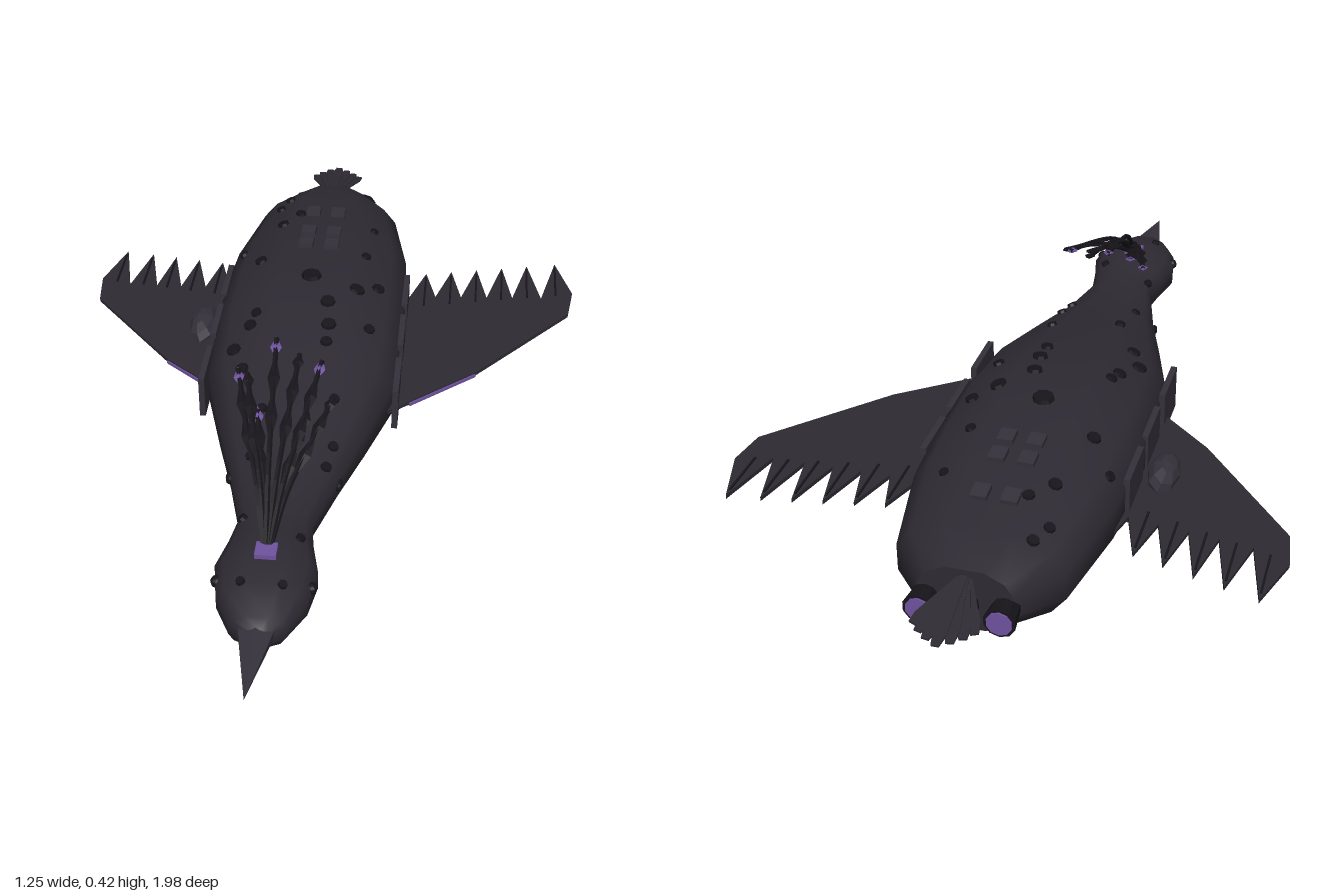
import * as THREE from 'three';

const CX = -0.033; // centre line of the hull
const mat = (color, extra = {}) => new THREE.MeshStandardMaterial({ color, ...extra });
const hullMat = mat(0x2e2a33);
const wingMat = mat(0x2e2a33, { flatShading: true, side: THREE.DoubleSide });
const darkMat = mat(0x17151b, { flatShading: true });
const plateMat = mat(0x35313b, { flatShading: true });
const podMat = mat(0x1e1530, { flatShading: true });
const glowMat = mat(0x6f539f, { flatShading: true });

// hull stations: z, half width, bottom, top
const STATIONS = [
  [-0.82, 0.1, 0.075, 0.225], [-0.72, 0.18, 0.037, 0.25], [-0.5, 0.222, 0.022, 0.277],
  [-0.35, 0.232, 0.01, 0.287], [-0.18, 0.232, 0.008, 0.295], [0.02, 0.222, 0.01, 0.268],
  [0.2, 0.168, 0.04, 0.235], [0.35, 0.12, 0.066, 0.207], [0.5, 0.08, 0.09, 0.2],
  [0.57, 0.09, 0.084, 0.21], [0.65, 0.108, 0.08, 0.217], [0.73, 0.094, 0.085, 0.208],
  [0.8, 0.058, 0.1, 0.186], [0.82, 0.03, 0.12, 0.17],
];
// a quarter of the unit cross-section, from the side to the top
const QUARTER = [[1, 0.3], [0.82, 0.68], [0.4, 0.96]];
const RING = [
  ...QUARTER, ...QUARTER.map(([x, y]) => [-x, y]).reverse(),
  ...QUARTER.map(([x, y]) => [-x, -y]), ...QUARTER.map(([x, y]) => [x, -y]).reverse(),
];

function station(z) {
  let i = 0;
  while (i < STATIONS.length - 2 && STATIONS[i + 1][0] < z) i++;
  const a = STATIONS[i], b = STATIONS[i + 1], t = (z - a[0]) / (b[0] - a[0]);
  return a.map((v, k) => v + (b[k] - v) * t);
}

// height of the upper hull surface at x, z
function topY(x, z) {
  const [, w, lo, hi] = station(z);
  const u = Math.min(Math.abs(x - CX) / w, 0.99);
  const pts = [[0, 0.98], ...[...QUARTER].reverse(), [1.0001, 0]];
  const k = Math.max(1, pts.findIndex((p) => p[0] >= u));
  const [a, b] = [pts[k - 1], pts[k]];
  const v = a[1] + (b[1] - a[1]) * (u - a[0]) / (b[0] - a[0]);
  return (lo + hi) / 2 + v * (hi - lo) / 2;
}

function hullGeometry() {
  const n = RING.length, pos = [], idx = [];
  for (const [z, w, lo, hi] of STATIONS)
    for (const [x, y] of RING) pos.push(CX + x * w, (lo + hi) / 2 + y * (hi - lo) / 2, z);
  for (let s = 0; s < STATIONS.length - 1; s++)
    for (let i = 0; i < n; i++) {
      const a = s * n + i, b = s * n + (i + 1) % n;
      idx.push(a, b, a + n, b, b + n, a + n);
    }
  // end caps with their own vertices
  [0, STATIONS.length - 1].forEach((s, e) => {
    const base = pos.length / 3;
    pos.push(...pos.slice(s * n * 3, (s + 1) * n * 3));
    for (let i = 1; i < n - 1; i++)
      idx.push(base, base + (e ? i : i + 1), base + (e ? i + 1 : i));
  });
  const g = new THREE.BufferGeometry();
  g.setAttribute('position', new THREE.Float32BufferAttribute(pos, 3));
  g.setIndex(idx);
  g.computeVertexNormals();
  return g;
}

export function createModel() {
  const model = new THREE.Group();
  const add = (name, geo, material, x = 0, y = 0, z = 0, parent = model) => {
    const m = new THREE.Mesh(geo, material);
    m.name = name;
    m.position.set(x, y, z);
    parent.add(m);
    return m;
  };
  const box = (w, h, d) => new THREE.BoxGeometry(w, h, d);
  const ball = (rx, ry, rz, a = 8, b = 6) => new THREE.SphereGeometry(1, a, b).scale(rx, ry, rz);
  const up = new THREE.Vector3(0, 1, 0);
  // lay a part on the hull, facing along the surface normal
  const onHull = (name, geo, material, x, z) => {
    const e = 0.012, m = add(name, geo, material, x, topY(x, z), z);
    const n = new THREE.Vector3(topY(x - e, z) - topY(x + e, z), 2 * e, topY(x, z - e) - topY(x, z + e));
    m.quaternion.setFromUnitVectors(up, n.normalize());
  };

  add('hull', hullGeometry(), hullMat);

  // beak: long upper half, short lower half
  const beak = (name, w, h, len, y) => add(name,
    new THREE.ConeGeometry(1, len, 6).rotateX(Math.PI / 2).scale(w, h, 1), plateMat, CX, y, 0.8 + len / 2);
  beak('upperBeak', 0.045, 0.022, 0.185, 0.152);
  beak('lowerBeak', 0.032, 0.018, 0.11, 0.134);

  // wings with a saw-tooth row of feathers along the rear edge
  for (const s of [1, -1]) {
    const wing = new THREE.Group();
    wing.name = s > 0 ? 'leftWing' : 'rightWing';
    wing.position.y = s > 0 ? 0.122 : 0.138;
    wing.rotation.z = s > 0 ? 0.022 : 0.068;
    model.add(wing);
    const edge = [[0.12, 0.1], [0.19, 0.045], [0.385, -0.115], [0.615, -0.38], [0.628, -0.475]];
    const tips = [];
    for (let i = 0; i < 6; i++) {
      const x = 0.585 - i * 0.068 - (i > 0 ? 0.04 * (1 - i / 6) * 0.2 : 0);
      tips.push([x, -0.61 + i * 0.014]);
      edge.push([x, -0.61 + i * 0.014], [x - 0.038, -0.445 + i * 0.003]);
    }
    edge.push([0.12, -0.43]);
    const shape = new THREE.Shape(edge.map(([x, z]) => new THREE.Vector2(s * x, -z)));
    add('wingPanel', new THREE.ExtrudeGeometry(shape, { depth: 0.01, bevelEnabled: false })
      .rotateX(-Math.PI / 2), wingMat, 0, -0.005, 0, wing);
    for (const [x, z] of tips)
      add('featherQuill', box(0.005, 0.016, 0.13), darkMat, s * x, 0, z + 0.085, wing);
    const strip = add('leadingEdgeStrip', box(0.2, 0.008, 0.008), glowMat, s * 0.305, -0.003, -0.05, wing);
    strip.rotation.y = s * 0.69;
    // slim store hung below the wing
    const px = s > 0 ? 0.345 : -0.385;
    add('underwingStore', ball(0.018, 0.018, 0.06, 6, 4), podMat, px, -0.026, -0.2, wing);
    add('storePylon', box(0.008, 0.02, 0.05), darkMat, px, -0.01, -0.2, wing);
  }
  add('wingPod', ball(0.037, 0.037, 0.075, 8, 6).rotateZ(Math.PI / 8), plateMat, -0.312, 0.125, -0.255);

  // armour plates along both flanks
  for (const s of [1, -1])
    for (const [z, len] of [[0.008, 0.135], [-0.175, 0.13], [-0.35, 0.135]])
      add('flankPlate', box(0.014, 0.11, len), plateMat, CX + s * 0.23, 0.152, z);

  // paired roof hatches
  for (const z of [-0.615, -0.495, -0.43])
    for (const x of [-0.067, -0.002]) onHull('roofHatch', box(0.036, 0.018, 0.042), plateMat, x, z);

  // studs scattered over the back and head: x, z, radius
  const studs = [
    [-0.037, -0.27, 0.027], [0.08, -0.23, 0.022], [0.015, -0.16, 0.02], [-0.195, -0.005, 0.02],
    [-0.165, -0.08, 0.018], [-0.155, -0.12, 0.015], [-0.165, 0.065, 0.018], [0.025, -0.08, 0.02],
    [0.025, -0.02, 0.016], [-0.14, -0.71, 0.015], [-0.16, -0.66, 0.014], [-0.14, -0.545, 0.017],
    [-0.1, -0.6, 0.015], [-0.23, -0.44, 0.014], [-0.175, -0.36, 0.018], [0.13, -0.27, 0.018],
    [0.09, -0.4, 0.014], [0.1, -0.55, 0.012], [0.12, -0.1, 0.016], [0.06, 0.15, 0.014],
    [-0.1, 0.2, 0.014], [0.07, 0.28, 0.014], [0.06, 0.34, 0.014], [-0.11, 0.33, 0.012],
    [-0.1, 0.52, 0.012], [0.03, 0.58, 0.012], [-0.075, 0.725, 0.011], [0.01, 0.725, 0.011],
  ];
  for (const [x, z, r] of studs)
    onHull('stud', new THREE.CylinderGeometry(r * 0.85, r, 0.014, 8), darkMat, x, z);

  // eyes and cheek studs
  for (const s of [1, -1]) {
    add('eye', ball(0.013, 0.013, 0.015), darkMat, CX + s * 0.098, 0.165, 0.69);
    add('cheekStud', ball(0.01, 0.012, 0.02), darkMat, CX + s * 0.122, 0.145, 0.345);
  }

  // crest: a fan of feathers sweeping up and back from the crown
  const crest = new THREE.Group();
  crest.name = 'crest';
  model.add(crest);
  add('crestBase', box(0.045, 0.016, 0.04), glowMat, CX, 0.216, 0.645, crest);
  const crestTips = [
    [-0.145, 0.37, 0.24], [-0.12, 0.385, 0.27], [-0.065, 0.425, 0.19], [-0.012, 0.4, 0.21],
    [0.04, 0.4, 0.23], [0.072, 0.362, 0.31], [-0.09, 0.34, 0.34], [0.02, 0.345, 0.35],
  ];
  crestTips.forEach(([x, y, z], i) => {
    const at = (t, yy, zz) => new THREE.Vector3(CX + (x - CX) * t, yy, zz);
    const curve = new THREE.CatmullRomCurve3([
      at(0.06, 0.215, 0.635), at(0.3, 0.225 + (y - 0.22) * 0.42, 0.53),
      at(0.66, 0.22 + (y - 0.22) * 0.76, z + (0.53 - z) * 0.52), at(1, y, z)]);
    add('crestQuill', new THREE.TubeGeometry(curve, 10, 0.006, 5), darkMat, 0, 0, 0, crest);
    // blades along the outer part, the last one coloured on some feathers
    for (const [t, len, w] of [[0.58, 0.14, 0.014], [0.78, 0.13, 0.014], [0.95, 0.06, 0.013]]) {
      const p = curve.getPointAt(t);
      const blade = add('crestBlade', new THREE.OctahedronGeometry(1).scale(w, 0.007, len / 2),
        t > 0.9 && i % 2 === 0 ? glowMat : darkMat, p.x, p.y, p.z, crest);
      blade.lookAt(p.clone().add(curve.getTangentAt(t)));
    }
  });

  // chin turret under the neck
  add('chinTurret', ball(0.065, 0.04, 0.083, 10, 8), podMat, CX, 0.054, 0.44);
  add('turretMount', new THREE.CylinderGeometry(0.03, 0.035, 0.04, 8), darkMat, CX, 0.088, 0.44);
  add('turretRing', new THREE.TorusGeometry(0.062, 0.004, 4, 12).scale(1, 0.62, 1), glowMat, CX, 0.054, 0.465);
  add('turretPin', new THREE.CylinderGeometry(0.004, 0.004, 0.06, 5), darkMat, CX, 0.036, 0.437);

  // three rear thrusters with glowing ends
  for (const dx of [-0.083, 0, 0.083]) {
    add('thruster', new THREE.CylinderGeometry(0.034, 0.026, 0.07, 10).rotateX(-Math.PI / 2),
      darkMat, CX + dx, 0.142, -0.828);
    add('thrusterGlow', new THREE.CylinderGeometry(0.027, 0.027, 0.006, 10).rotateX(Math.PI / 2),
      glowMat, CX + dx, 0.142, -0.864);
  }

  // tail fan of overlapping feathers
  const tail = new THREE.Group();
  tail.name = 'tailFan';
  tail.position.set(CX, 0.208, -0.8);
  tail.rotation.x = -0.16;
  model.add(tail);
  for (let i = -3; i <= 3; i++) {
    const len = 0.2 - Math.abs(i) * 0.012;
    const s = new THREE.Shape([[-0.006, 0], [0.006, 0], [0.014, len * 0.85], [0.008, len], [-0.008, len], [-0.014, len * 0.85]]
      .map(([x, y]) => new THREE.Vector2(x, y)));
    const f = add('tailFeather', new THREE.ExtrudeGeometry(s, { depth: 0.004, bevelEnabled: false })
      .rotateX(-Math.PI / 2), wingMat, 0, -Math.abs(i) * 0.002, 0, tail);
    f.rotation.y = i * 0.13;
  }
  return model;
}
